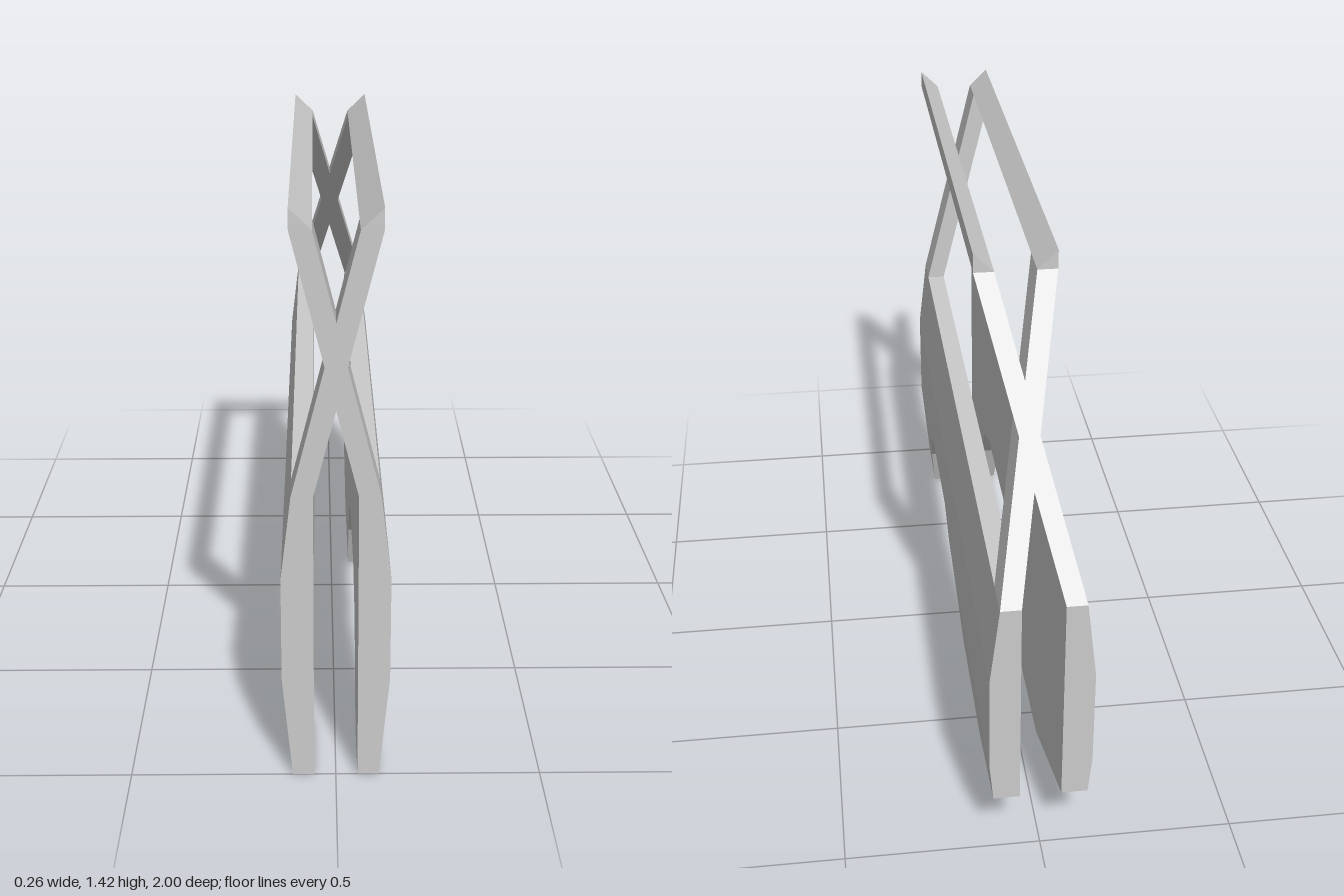
import * as THREE from 'three';

// Door thickness profile: [height, outer x, inner x]; the window frame leans inward past the centre
const PROFILE = [
  [0, 0.105, 0.053], [0.265, 0.13, 0.053], [0.53, 0.13, 0.053],
  [0.74, 0.105, 0.053], [1.37, -0.053, -0.105], [1.42, -0.105, -0.105],
];

// Side outlines as [z, y], one per flat band of the door
const BODY = [
  [[1, 0], [0.79, 0], [0.74, 0.135], [0.635, 0.265], [1, 0.265]],
  [[-0.157, 0], [-0.58, 0], [-1, 0.16], [-1, 0.265], [0, 0.265], [-0.105, 0.135]],
  [[1, 0.265], [0.635, 0.265], [0.5, 0.32], [0.135, 0.32], [0, 0.265], [-1, 0.265], [-1, 0.53], [1, 0.53]],
  [[1, 0.53], [-1, 0.53], [-1, 0.74], [-0.895, 0.74], [0.895, 0.74], [1, 0.74]],
];
const FRAME = [
  [[1, 0.74], [0.895, 0.74], [0.895, 1.37], [1, 1.37]],
  [[-0.895, 0.74], [-1, 0.74], [-0.475, 1.37], [-0.37, 1.37]],
  [[1, 1.37], [0.895, 1.37], [-0.37, 1.37], [-0.475, 1.37], [-0.475, 1.42], [1, 1.42]],
];

// Interpolate the profile at height y (column 1 = outer, 2 = inner)
function profileX(y, column) {
  let i = 1;
  while (i < PROFILE.length - 1 && y > PROFILE[i][0]) i++;
  const a = PROFILE[i - 1], b = PROFILE[i];
  return THREE.MathUtils.mapLinear(y, a[0], b[0], a[column], b[column]);
}

// Skin both faces of every band, then wall the edges no two bands share
function panelGeometry(bands, allBands, side) {
  const positions = [];
  const outer = ([z, y]) => [side * profileX(y, 1), y, z];
  const inner = ([z, y]) => [side * profileX(y, 2), y, z];
  const tri = (a, b, c) => positions.push(...a, ...(side > 0 ? b : c), ...(side > 0 ? c : b));
  const key = (a, b) => `${a}|${b}`;
  const edges = new Set();
  allBands.forEach((band) => band.forEach((p, i) => edges.add(key(p, band[(i + 1) % band.length]))));

  for (const band of bands) {
    const flat = band.map(([z, y]) => new THREE.Vector2(-z, y));
    for (const [i, j, k] of THREE.ShapeUtils.triangulateShape(flat, [])) {
      tri(outer(band[i]), outer(band[j]), outer(band[k]));
      tri(inner(band[i]), inner(band[k]), inner(band[j]));
    }
    band.forEach((a, i) => {
      const b = band[(i + 1) % band.length];
      const knifeEdge = a[1] === 1.42 && b[1] === 1.42;
      if (knifeEdge || edges.has(key(b, a))) return;
      if (a[1] !== 1.42) tri(outer(a), inner(a), inner(b));
      if (b[1] !== 1.42) tri(outer(a), inner(b), outer(b));
    });
  }
  const geometry = new THREE.BufferGeometry();
  geometry.setAttribute('position', new THREE.Float32BufferAttribute(positions, 3));
  geometry.computeVertexNormals();
  return geometry;
}

export function createModel() {
  const model = new THREE.Group();
  model.name = 'doorPair';
  const material = new THREE.MeshStandardMaterial({ color: 0xcccccc, flatShading: true });
  const all = [...BODY, ...FRAME];

  // Mirrored pair of doors, each a lower panel and a window frame
  for (const [side, label] of [[1, 'left'], [-1, 'right']]) {
    const door = new THREE.Group();
    door.name = `${label}Door`;
    for (const [name, bands] of [['DoorPanel', BODY], ['WindowFrame', FRAME]]) {
      const mesh = new THREE.Mesh(panelGeometry(bands, all, side), material);
      mesh.name = label + name;
      door.add(mesh);
    }
    model.add(door);
  }
  return model;
}
